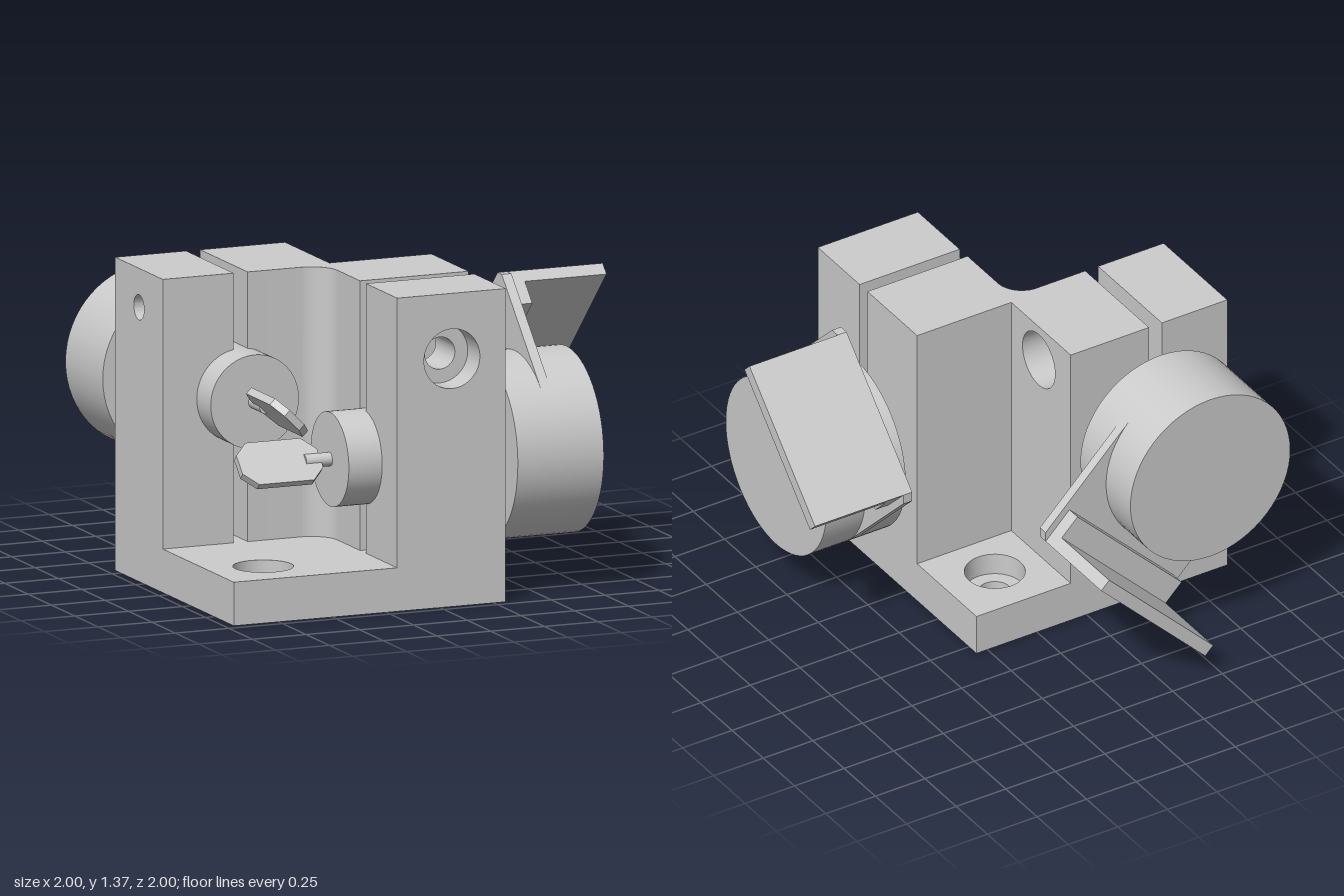
import * as THREE from 'three';
import { toCreasedNormals } from 'three/addons/utils/BufferGeometryUtils.js';

const material = new THREE.MeshStandardMaterial({ color: 0xcccccc });
const BASE = 0.19, TOP = 1.365;

function add(parent, geometry, name) {
  const mesh = new THREE.Mesh(geometry, material);
  mesh.name = name;
  parent.add(mesh);
  return mesh;
}

// Rectangle with round holes given as [x, y, radius]
function plate(x0, x1, y0, y1, holes = []) {
  const s = new THREE.Shape();
  s.moveTo(x0, y0).lineTo(x1, y0).lineTo(x1, y1).lineTo(x0, y1).closePath();
  for (const [x, y, r] of holes) s.holes.push(new THREE.Path().absarc(x, y, r, 0, Math.PI * 2, true));
  return s;
}

// Extrude a shape from one coordinate to another along a world axis.
// Along x the shape lies in (-z, y); along y it lies in (x, -z).
function prism(shape, from, to, axis) {
  const g = new THREE.ExtrudeGeometry(shape, { depth: to - from, bevelEnabled: false, curveSegments: 40 });
  g.translate(0, 0, from);
  if (axis === 'x') g.rotateY(Math.PI / 2);
  if (axis === 'y') g.rotateX(-Math.PI / 2);
  return toCreasedNormals(g, 0.5);
}

function createBody() {
  const body = new THREE.Group();
  body.name = 'body';

  // Base plate: two counterbored bolt holes and two blind holes underneath
  const baseLayer = (r) => plate(-0.96, 0.305, -0.96, 0.31, [
    [0.055, 0.06, r], [-0.71, -0.7, r], [0.055, -0.7, 0.05], [-0.71, 0.06, 0.05]]);
  add(body, prism(baseLayer(0.07), 0, 0.09, 'y'), 'basePlateLower');
  add(body, prism(baseLayer(0.13), 0.09, BASE, 'y'), 'basePlateUpper');

  // Back wing, split by its clamping slit, with the clamp bore along x
  const backSlice = (zFront, r) => plate(-zFront, 0.31, BASE, TOP, [[0.055, 1.195, r]]);
  add(body, prism(backSlice(0.2, 0.055), -0.96, -0.63, 'x'), 'backClampJaw');
  add(body, prism(backSlice(0.165, 0.07), -0.565, -0.3, 'x'), 'backWing');
  add(body, prism(backSlice(0.165, 0.13), -0.3, -0.17, 'x'), 'backWingCounterbore');

  // Corner core with the inner fillet
  const core = new THREE.Shape();
  core.moveTo(-0.565, -0.165).lineTo(-0.565, -0.2).lineTo(-0.32, -0.2);
  core.absarc(-0.32, -0.32, 0.12, Math.PI / 2, 0, true);
  core.lineTo(-0.2, -0.34).lineTo(0.305, -0.34).lineTo(0.305, -0.165).closePath();
  add(body, prism(core, BASE, TOP, 'y'), 'cornerCore');

  // Side wing, split by its slit, with the clamp bore along z
  const sideSlice = (r) => plate(-0.2, 0.305, BASE, TOP, [[0.055, 1.08, r]]);
  add(body, prism(sideSlice(0.055), 0.34, 0.563, 'z'), 'sideWing');
  add(body, prism(sideSlice(0.07), 0.625, 0.83, 'z'), 'sideClampJaw');
  add(body, prism(sideSlice(0.13), 0.83, 0.96, 'z'), 'sideClampCounterbore');
  return body;
}

// Rotary unit: z is its axis, pointing out of the body; the bracket points along x
function createRotaryUnit(name) {
  const unit = new THREE.Group();
  unit.name = name;
  const rod = (r, z0, z1, part) => {
    const g = new THREE.CylinderGeometry(r, r, z1 - z0, 64);
    g.rotateX(Math.PI / 2).translate(0, 0, (z0 + z1) / 2);
    add(unit, g, part);
  };
  const block = (x0, x1, halfY, z0, z1, part) => {
    const g = new THREE.BoxGeometry(x1 - x0, halfY * 2, z1 - z0);
    add(unit, g.translate((x0 + x1) / 2, 0, (z0 + z1) / 2), part);
  };
  rod(0.403, 0.35, 0.75, 'drum');
  rod(0.205, -0.35, 0.35, 'bushing');
  rod(0.03, -0.47, -0.35, 'shaft');

  // Bracket arm tangent to the drum, with clipped outer corners
  const arm = new THREE.Shape();
  arm.moveTo(0, -0.403).lineTo(0.598, -0.403).lineTo(0.63, -0.371);
  arm.lineTo(0.63, 0.371).lineTo(0.598, 0.403).lineTo(0, 0.403).closePath();
  add(unit, prism(arm, 0.51, 0.555, 'z'), 'bracketArm');
  block(0.46, 0.573, 0.371, 0.555, 0.62, 'bracketFoot');
  block(0.573, 0.63, 0.371, 0.555, 1, 'bracketFlag');

  // Thin thumb blade with clipped corners, in the plane of x and z
  const w = 0.108, c = 0.06, z0 = 0.4, z1 = 0.775;
  const blade = new THREE.Shape([
    [-w + c, z0], [w - c, z0], [w, z0 + c], [w, z1 - c],
    [w - c, z1], [-w + c, z1], [-w, z1 - c], [-w, z0 + c],
  ].map(([x, y]) => new THREE.Vector2(x, y)));
  add(unit, prism(blade, -0.0175, 0.0175, 'y'), 'thumbBlade');
  return unit;
}

// Place a unit by its axis direction and bracket direction
function placeUnit(unit, position, axis, bracket) {
  const side = axis.clone().cross(bracket);
  unit.quaternion.setFromRotationMatrix(new THREE.Matrix4().makeBasis(bracket, side, axis));
  unit.position.copy(position);
  return unit;
}

export function createModel() {
  const model = new THREE.Group();
  model.name = 'twoAxisControlBlock';
  const v = (x, y, z) => new THREE.Vector3(x, y, z);
  model.add(createBody());
  model.add(placeUnit(createRotaryUnit('backRotaryUnit'),
    v(-0.597, 0.83, 0), v(0, 0, -1), v(1, -1, 0).normalize()));
  model.add(placeUnit(createRotaryUnit('sideRotaryUnit'),
    v(-0.005, 0.607, 0.595), v(1, 0, 0), v(0, 1, -1).normalize()));
  return model;
}
